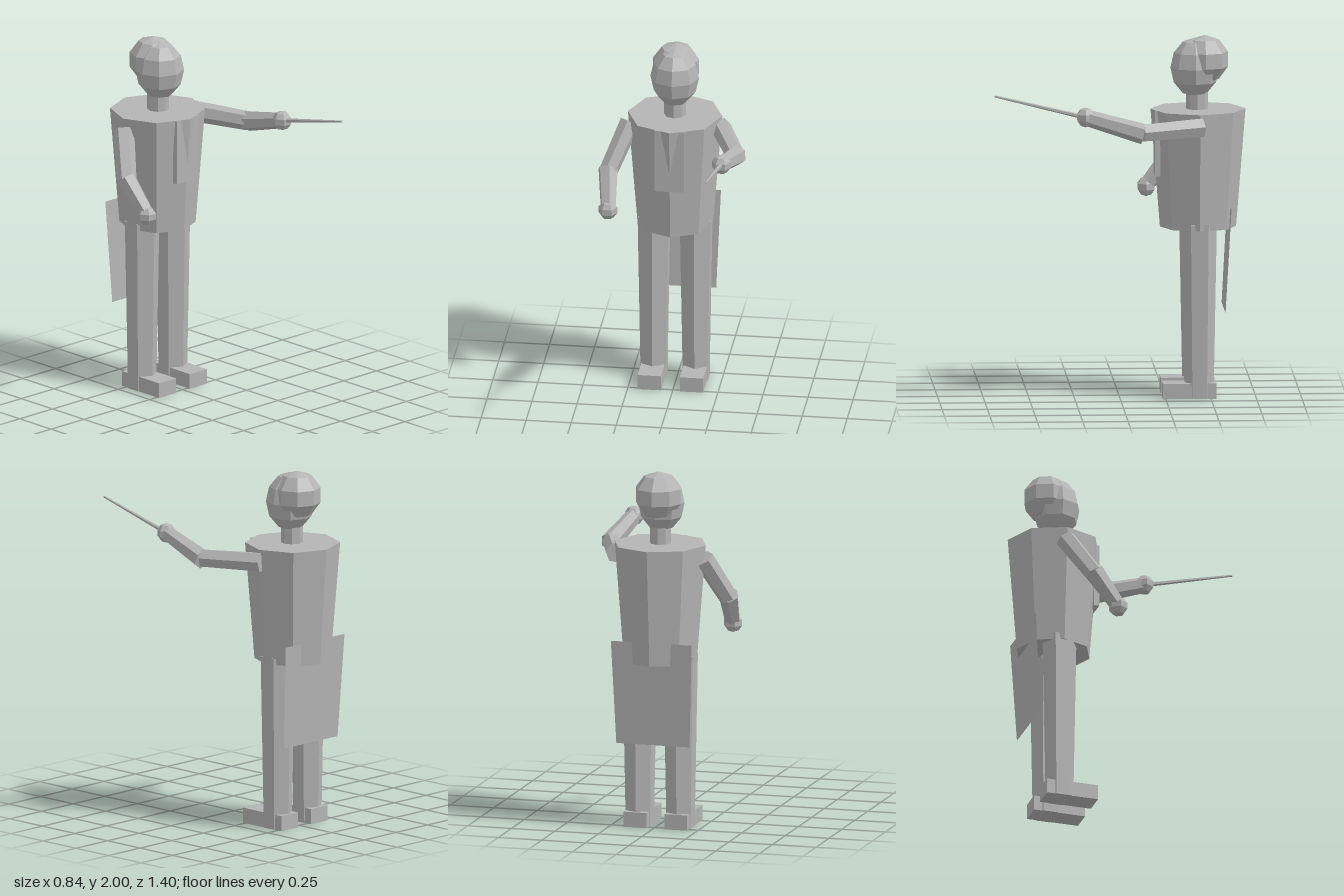
import * as THREE from 'three';

export function createModel() {
  const model = new THREE.Group();
  const grey = new THREE.MeshStandardMaterial({ color: 0xb4b4b4 });
  grey.name = 'plain grey';
  const greySheet = new THREE.MeshStandardMaterial({ color: 0xb4b4b4, side: THREE.DoubleSide });
  greySheet.name = 'plain grey sheet';
  const CX = -0.012, CZ = -0.437; // body axis

  function add(name, geometry, x, y, z, material = grey) {
    let geo = geometry.index ? geometry.toNonIndexed() : geometry;
    geo.computeVertexNormals(); // faceted
    const mesh = new THREE.Mesh(geo, material);
    mesh.name = name;
    mesh.position.set(x, y, z);
    model.add(mesh);
    return mesh;
  }

  // Tapered rod between two points
  function limb(name, a, b, ra, rb, sides = 6) {
    const p = new THREE.Vector3(...a), q = new THREE.Vector3(...b);
    const dir = q.clone().sub(p);
    const mid = p.clone().add(q).multiplyScalar(0.5);
    const mesh = add(name, new THREE.CylinderGeometry(rb, ra, dir.length(), sides), mid.x, mid.y, mid.z);
    mesh.quaternion.setFromUnitVectors(new THREE.Vector3(0, 1, 0), dir.normalize());
  }

  // Body
  add('torso', new THREE.CylinderGeometry(0.262, 0.21, 0.655, 8), CX, 1.2625, CZ);
  add('shirtFront', new THREE.BoxGeometry(0.166, 0.365, 0.03), CX, 1.407, -0.211);
  add('neck', new THREE.CylinderGeometry(0.06, 0.06, 0.16, 8), CX, 1.64, -0.432);

  // Head and hair
  const head = new THREE.SphereGeometry(0.135, 8, 6);
  head.scale(1, 0.165 / 0.135, 1);
  add('head', head, CX, 1.82, -0.42);
  add('hair', new THREE.SphereGeometry(0.135, 8, 5), CX, 1.865, -0.474);

  // Legs and shoes
  for (const [side, s] of [['left', 1], ['right', -1]]) {
    const x = CX + s * 0.117;
    add(side + 'Leg', new THREE.CylinderGeometry(0.098, 0.08, 0.97, 6), x, 0.485, CZ);
    add(side + 'Shoe', new THREE.BoxGeometry(0.13, 0.085, 0.295), x, 0.0425, -0.382);
  }

  // Coat tail: one thin tapered sheet, leaning in towards the hem
  const tail = new THREE.PlaneGeometry(1, 1);
  const pos = tail.attributes.position;
  for (let i = 0; i < pos.count; i++) {
    const top = pos.getY(i) > 0;
    pos.setXYZ(i, Math.sign(pos.getX(i)) * (top ? 0.232 : 0.21), top ? 1.06 : 0.48, top ? -0.61 : -0.578);
  }
  add('coatTail', tail, CX, 0, 0, greySheet);

  // Left arm, reaching forward with the baton
  const hand = [0.328, 1.595, 0.2];
  limb('leftUpperArm', [0.24, 1.52, -0.445], [0.365, 1.51, -0.11], 0.058, 0.053);
  limb('leftForearm', [0.37, 1.505, -0.12], hand, 0.057, 0.045);
  add('leftHand', new THREE.SphereGeometry(0.055, 6, 5), ...hand);
  limb('baton', hand, [0.306, 1.713, 0.7], 0.013, 0.006);

  // Right arm, bent at the side
  limb('rightUpperArm', [-0.262, 1.52, -0.445], [-0.365, 1.28, -0.31], 0.058, 0.053);
  limb('rightForearm', [-0.368, 1.295, -0.315], [-0.35, 1.13, -0.18], 0.057, 0.045);
  add('rightHand', new THREE.SphereGeometry(0.055, 6, 5), -0.35, 1.11, -0.168);

  return model;
}
